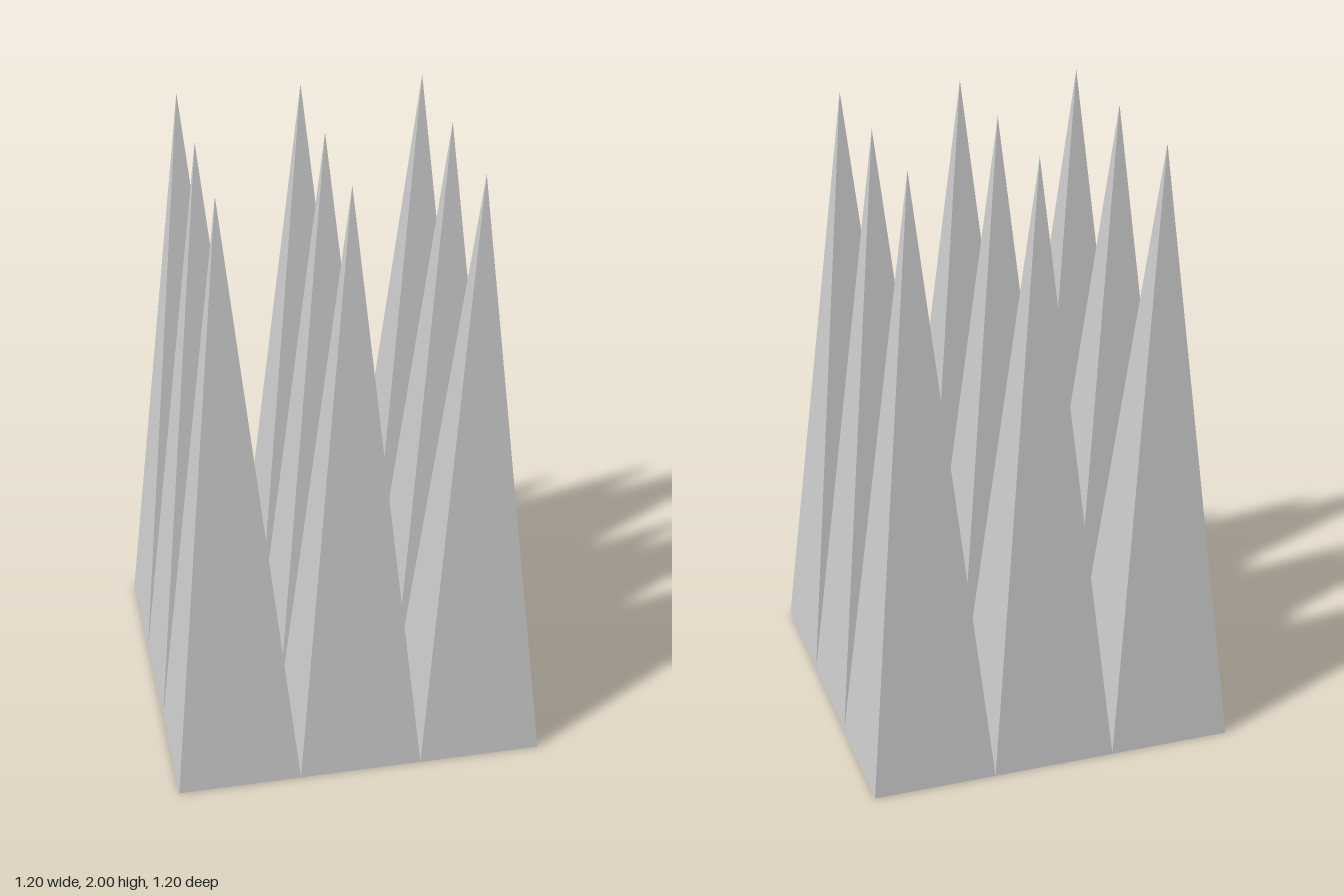
import * as THREE from 'three';

const COUNT = 3;      // spikes per side
const PITCH = 0.4;    // width of each square spike base
const HEIGHT = 2;

export function createModel() {
  const model = new THREE.Group();
  model.name = 'spikeGrid';
  const material = new THREE.MeshStandardMaterial({ color: 0xcccccc, flatShading: true });

  // Four-sided spike with its base edges along x and z, standing on y = 0
  const spike = new THREE.ConeGeometry(PITCH / Math.SQRT2, HEIGHT, 4);
  spike.rotateY(Math.PI / 4);
  spike.translate(0, HEIGHT / 2, 0);

  // Square grid of touching spikes
  const middle = (COUNT - 1) / 2;
  for (let row = 0; row < COUNT; row++) {
    for (let col = 0; col < COUNT; col++) {
      const mesh = new THREE.Mesh(spike, material);
      mesh.name = `spikeRow${row + 1}Column${col + 1}`;
      mesh.position.set((col - middle) * PITCH, 0, (row - middle) * PITCH);
      model.add(mesh);
    }
  }
  return model;
}
